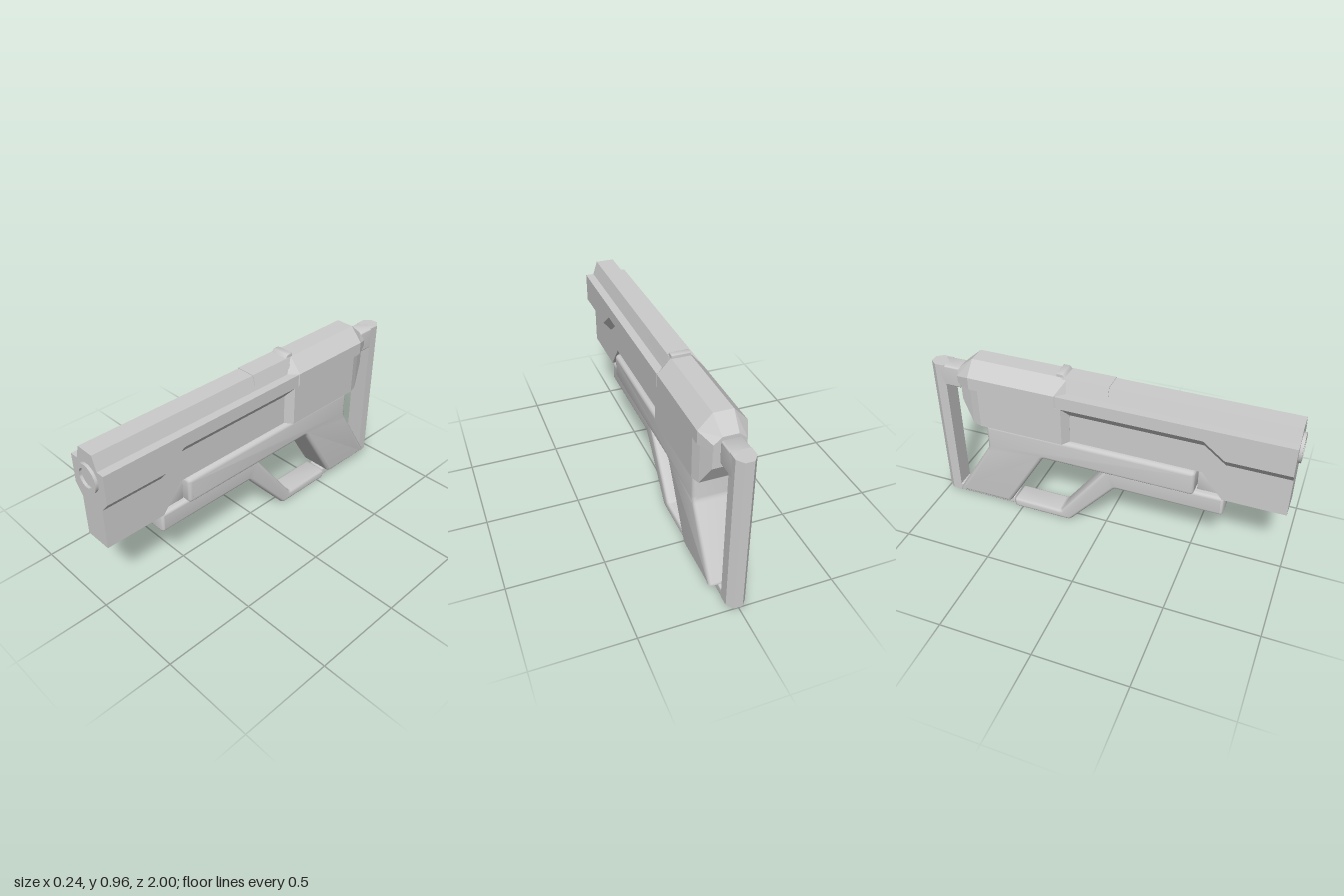
import * as THREE from 'three';
import { toCreasedNormals } from 'three/addons/utils/BufferGeometryUtils.js';

const material = new THREE.MeshStandardMaterial({ color: 0xcccccc });

function part(group, name, geometry) {
  const mesh = new THREE.Mesh(geometry, material);
  mesh.name = name;
  group.add(mesh);
  return mesh;
}

// Faceted hull from mirrored half-sections. Each section is { z, half }, front to back,
// where half lists [x, y] from top to bottom on the +x side.
function loft(sections) {
  const rings = sections.map(({ z, half }) => [
    ...[...half].reverse().map(([x, y]) => new THREE.Vector3(x, y, z)),
    ...half.map(([x, y]) => new THREE.Vector3(-x, y, z)),
  ]);
  const n = rings[0].length;
  const points = [];
  for (let s = 0; s < rings.length - 1; s++) {
    for (let i = 0; i < n; i++) {
      const j = (i + 1) % n;
      const [a, b, c, d] = [rings[s][i], rings[s][j], rings[s + 1][j], rings[s + 1][i]];
      points.push(a, d, c, a, c, b);
    }
  }
  const cap = (ring, flip) => {
    const flat = ring.map((p) => new THREE.Vector2(p.x, p.y));
    for (const [a, b, c] of THREE.ShapeUtils.triangulateShape(flat, [])) {
      points.push(ring[a], ring[flip ? c : b], ring[flip ? b : c]);
    }
  };
  cap(rings[0], false);
  cap(rings[rings.length - 1], true);
  const geometry = new THREE.BufferGeometry().setFromPoints(points);
  geometry.computeVertexNormals();
  return geometry;
}

// Side outline of [z, y] points with rounded corners, extruded across x with soft edges.
function sideExtrude(outline, halfWidth, bevel, radius) {
  const pts = outline.map(([z, y]) => new THREE.Vector2(z, y));
  const shape = new THREE.Shape();
  pts.forEach((p, i) => {
    const toward = (q) => q.clone().sub(p).setLength(radius).add(p);
    const a = toward(pts[(i + pts.length - 1) % pts.length]);
    const b = toward(pts[(i + 1) % pts.length]);
    if (i === 0) shape.moveTo(a.x, a.y);
    else shape.lineTo(a.x, a.y);
    shape.quadraticCurveTo(p.x, p.y, b.x, b.y);
  });
  shape.closePath();
  const depth = 2 * (halfWidth - bevel);
  const geometry = new THREE.ExtrudeGeometry(shape, {
    depth, curveSegments: 4, bevelEnabled: true, bevelSegments: 4,
    bevelSize: bevel, bevelThickness: bevel, bevelOffset: -bevel,
  });
  geometry.translate(0, 0, -depth / 2).rotateY(-Math.PI / 2);
  return toCreasedNormals(geometry, 0.6);
}

export function createModel() {
  const model = new THREE.Group();
  model.name = 'blaster';

  // Long front housing: top rib, side ledges and a stepped undercut
  const housing = (z, undercut, bottom) => ({
    z,
    half: [[0.05, 0.945], [0.075, 0.87], [0.12, 0.87], [0.12, undercut],
      [0.075, undercut - 0.055], [0.075, bottom]],
  });
  part(model, 'frontHousing', loft([
    housing(0.985, 0.71, 0.43), housing(0.655, 0.71, 0.43),
    housing(0.54, 0.8, 0.577), housing(-0.23, 0.8, 0.577),
  ]));

  // Muzzle ring with a shallow bore
  const ring = [[0.075, -0.02], [0.075, 0.02], [0.05, 0.02], [0.05, 0.006], [0, 0.006]]
    .map(([r, y]) => new THREE.Vector2(r, y));
  const muzzle = new THREE.LatheGeometry(ring, 40).rotateX(Math.PI / 2);
  part(model, 'muzzle', toCreasedNormals(muzzle, 0.6)).position.set(0, 0.803, 0.98);

  // Rear receiver, lower half
  const receiver = (z, w, top, bottom) => ({ z, half: [[w, top], [w, bottom]] });
  part(model, 'receiver', loft([
    receiver(-0.175, 0.076, 0.8, 0.578), receiver(-0.205, 0.12, 0.8, 0.578),
    receiver(-0.68, 0.12, 0.8, 0.578), receiver(-0.73, 0.105, 0.8, 0.58),
    receiver(-0.8, 0.075, 0.795, 0.7),
  ]));

  // Rear cover, upper half
  const cover = (z, topW, top, w, shoulder) => ({
    z, half: [[topW, top], [w, shoulder], [w, 0.8]],
  });
  part(model, 'rearCover', loft([
    cover(-0.19, 0.05, 0.945, 0.076, 0.87), cover(-0.24, 0.05, 0.947, 0.12, 0.87),
    cover(-0.73, 0.05, 0.947, 0.12, 0.87), cover(-0.815, 0.04, 0.875, 0.08, 0.84),
  ]));

  // Top plate and rear sight
  const plate = (z) => ({ z, half: [[0.053, 0.948], [0.07, 0.895]] });
  part(model, 'topPlate', loft([plate(0.035), plate(-0.22)]));
  part(model, 'rearSight', sideExtrude(
    [[-0.19, 0.93], [-0.215, 0.964], [-0.25, 0.964], [-0.25, 0.93]], 0.05, 0.003, 0.003));

  // Lower frame and raked grip
  part(model, 'frameAndGrip', sideExtrude([
    [0.51, 0.575], [0.51, 0.43], [-0.335, 0.43], [-0.56, 0.055],
    [-0.89, 0.055], [-0.665, 0.42], [-0.665, 0.575],
  ], 0.102, 0.022, 0.02));

  // Small block filling the notch ahead of the frame
  part(model, 'frameStop', sideExtrude(
    [[0.63, 0.45], [0.52, 0.45], [0.52, 0.59], [0.53, 0.59]], 0.06, 0.003, 0.004));

  // Foregrip running back into the hand guard
  part(model, 'foregripGuard', sideExtrude([
    [0.667, 0.43], [0.667, 0.317], [0.07, 0.317], [-0.2, 0.003],
    [-0.548, 0.003], [-0.548, 0.057], [-0.255, 0.057], [0.02, 0.43],
  ], 0.07, 0.018, 0.015));

  // Stock: chamfered upright, upper arm and foot
  const plan = new THREE.Shape([[-0.05, 0.91], [0.05, 0.91], [0.05, 0.965],
    [0.022, 1], [-0.022, 1], [-0.05, 0.965]].map(([x, y]) => new THREE.Vector2(x, y)));
  const upright = new THREE.ExtrudeGeometry(plan, { depth: 0.862, bevelEnabled: false })
    .rotateX(-Math.PI / 2).translate(0, 0.004, 0);
  part(model, 'stockUpright', upright);
  part(model, 'stockArm', sideExtrude(
    [[-0.82, 0.866], [-0.95, 0.866], [-0.95, 0.745], [-0.82, 0.745]], 0.05, 0.008, 0.01));
  part(model, 'stockFoot', sideExtrude(
    [[-0.556, 0.05], [-0.95, 0.05], [-0.95, 0.004], [-0.556, 0.004]], 0.05, 0.008, 0.008));

  return model;
}
